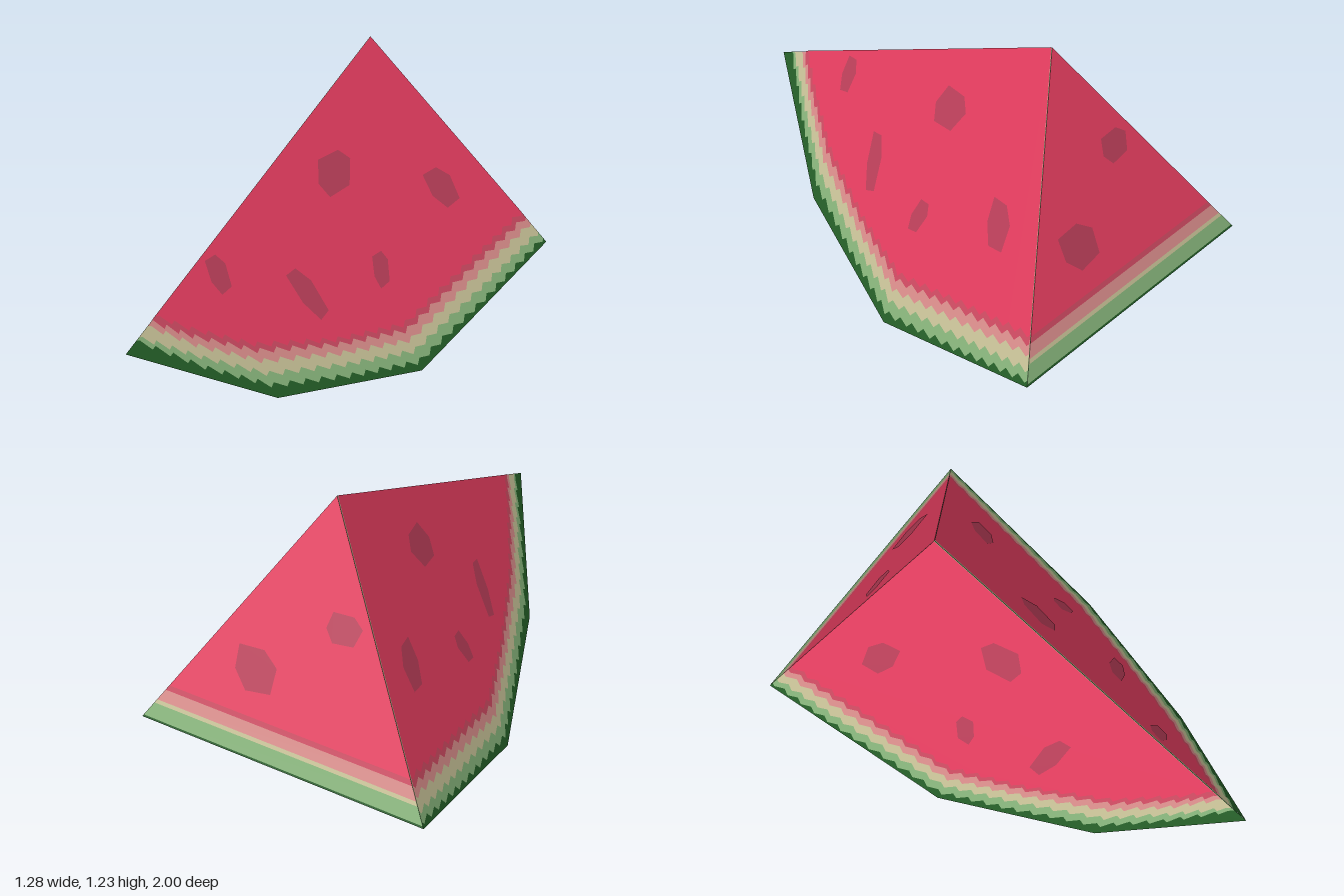
import * as THREE from 'three';

const mat = (name, color, opts = {}) => {
  const m = new THREE.MeshStandardMaterial({ color, ...opts });
  m.name = name;
  return m;
};

// Corners of the wedge; side corners are mirrored across x
const APEX = [0, 1.23, -0.53], TIP = [0, 0.5, 1];
const BACK = [0.64, 0.25, -1], LOW = [0.56, 0, -0.17], FORE = [0.32, 0.14, 0.49];
const flip = ([x, y, z]) => [-x, y, z];

// Points on the cut faces
const sideX = (z, y) => (0.979 * (1.23 - y) - 0.467 * (z + 0.53)) / 1.842;
const backZ = (y) => -1 + (y - 0.25) * 0.47 / 0.98;
const ridgeY = (z) => 1.23 - (z + 0.53) * 0.73 / 1.53;

export function createModel() {
  const group = new THREE.Group();
  const rind = mat('dark green rind', 0x235c26);
  const green = mat('light green', 0x84b078);
  const cream = mat('cream', 0xc4be94);
  const pink = mat('pale pink', 0xd58a88);
  const deep = mat('deep pink', 0xc9485f);
  const flesh = mat('red flesh', 0xe23c5e);
  const seed = mat('seed', 0xb83e58);

  const add = (name, geo, material) => {
    geo.computeVertexNormals();
    const mesh = new THREE.Mesh(geo, material);
    mesh.name = name;
    group.add(mesh);
  };

  // Flat patch drawn as [z, y] on a side face, lifted slightly along the normal
  const sidePatch = (name, pts, s, lift, material) => {
    const geo = new THREE.ShapeGeometry(new THREE.Shape(pts.map(([z, y]) => new THREE.Vector2(-s * z, y))));
    const p = geo.attributes.position;
    const n = new THREE.Vector3(1.842, 0.979, 0.467).normalize().multiplyScalar(lift);
    for (let i = 0; i < p.count; i++) {
      const z = -s * p.getX(i), y = p.getY(i);
      p.setXYZ(i, s * (sideX(z, y) + n.x), y + n.y, z + n.z);
    }
    add(name, geo, material);
  };

  // Flat patch drawn as [x, y] on the back face
  const backPatch = (name, pts, lift, material) => {
    const geo = new THREE.ShapeGeometry(new THREE.Shape(pts.map(([x, y]) => new THREE.Vector2(-x, y))));
    const p = geo.attributes.position;
    for (let i = 0; i < p.count; i++) {
      const y = p.getY(i);
      p.setXYZ(i, -p.getX(i), y + lift * 0.43, backZ(y) - lift * 0.9);
    }
    add(name, geo, material);
  };

  // Folded underside of the rind
  const L = flip(LOW), R = flip(FORE);
  const tris = [
    [TIP, FORE, R], [FORE, LOW, R], [R, LOW, BACK], [R, BACK, L], [L, BACK, flip(BACK)],
  ];
  const verts = [];
  for (const [a, b, c] of tris) {
    const va = new THREE.Vector3(...a);
    const n = new THREE.Vector3(...b).sub(va).cross(new THREE.Vector3(...c).sub(va));
    verts.push(...a, ...(n.y > 0 ? [...c, ...b] : [...b, ...c]));
  }
  const under = new THREE.BufferGeometry();
  under.setAttribute('position', new THREE.Float32BufferAttribute(verts, 3));
  add('rindUnderside', under, rind);

  // Saw-toothed lower border of a colour band
  const toothed = (pts) => {
    const out = [pts[0]];
    for (let i = 0; i < pts.length - 1; i++) {
      const [z0, y0] = pts[i], [z1, y1] = pts[i + 1];
      const n = Math.ceil(Math.hypot(z1 - z0, y1 - y0) / 0.075);
      for (let k = 0; k < n; k++) {
        const at = (t) => [z0 + (z1 - z0) * t, y0 + (y1 - y0) * t];
        const a = at((k + 0.15) / n), b = at((k + 0.85) / n);
        out.push([a[0], a[1] + 0.011], [b[0], b[1] - 0.011]);
      }
    }
    out.push(pts[pts.length - 1]);
    return out;
  };

  // Bands: ridge z, heights at five stations along the side, height on the back edge
  const stations = [0.72, 0.49, 0.15, -0.17, -0.6];
  const bands = [
    ['greenBand', green, 0.94, [0.345, 0.19, 0.10, 0.035, 0.15], 0.27],
    ['creamBand', cream, 0.925, [0.385, 0.235, 0.145, 0.08, 0.195], 0.30],
    ['pinkBand', pink, 0.875, [0.43, 0.285, 0.19, 0.125, 0.245], 0.345],
    ['deepPinkBand', deep, 0.855, [0.465, 0.325, 0.225, 0.165, 0.285], 0.375],
    ['flesh', flesh, 0.83, [0.495, 0.35, 0.245, 0.19, 0.31], 0.4],
  ];

  // Seeds on a side: z, y, width, height, lean
  const seeds = [
    [-0.13, 0.81, 0.17, 0.15, -0.02], [0.19, 0.44, 0.09, 0.21, 0.03],
    [-0.165, 0.415, 0.08, 0.13, -0.015], [-0.59, 0.61, 0.13, 0.16, 0.02],
    [0.52, 0.63, 0.085, 0.14, 0],
  ];
  const seedShape = ([u, v, w, h, lean]) =>
    [[-0.5, 0.2], [-0.2, 0.5], [0.4, 0.45], [0.5, -0.1], [0.25, -0.5], [-0.35, -0.4]]
      .map(([a, b]) => [u + a * w + b * 2 * lean, v + b * h]);

  for (const s of [1, -1]) {
    const zy = ([, y, z]) => [z, y];
    sidePatch('rindEdge', [APEX, TIP, FORE, LOW, BACK].map(zy), s, 0, rind);
    bands.forEach(([name, m, zr, ys, yb], i) => {
      const border = [[zr, ridgeY(zr)], ...stations.map((z, k) => [z, ys[k]]),
        [-1 + (yb - 0.25) * 0.47 / 0.98, yb]];
      sidePatch(name, [zy(APEX), ...toothed(border)], s, 0.001 * (i + 1), m);
    });
    seeds.slice(0, s > 0 ? 5 : 4).forEach((d) => sidePatch('seed', seedShape(d), s, 0.007, seed));
  }

  // Back face: straight bands stacked up to the apex
  const halfW = (y) => 0.64 * (1.23 - y) / 0.98;
  const strip = (y0, y1) => [[-halfW(y0), y0], [halfW(y0), y0], [halfW(y1), y1], [-halfW(y1), y1]];
  [['backRind', rind, 0.25, 0.258], ['backGreen', green, 0.258, 0.315], ['backCream', cream, 0.315, 0.33],
    ['backPink', pink, 0.33, 0.375], ['backDeepPink', deep, 0.375, 0.395]]
    .forEach(([name, m, a, b]) => backPatch(name, strip(a, b), 0, m));
  backPatch('backFlesh', [[-halfW(0.395), 0.395], [halfW(0.395), 0.395], [0, 1.23]], 0, flesh);
  [[0.18, 0.56, 0.19, 0.16, 0.02], [-0.15, 0.8, 0.15, 0.11, 0]]
    .forEach((d) => backPatch('backSeed', seedShape(d), 0.003, seed));

  return group;
}
